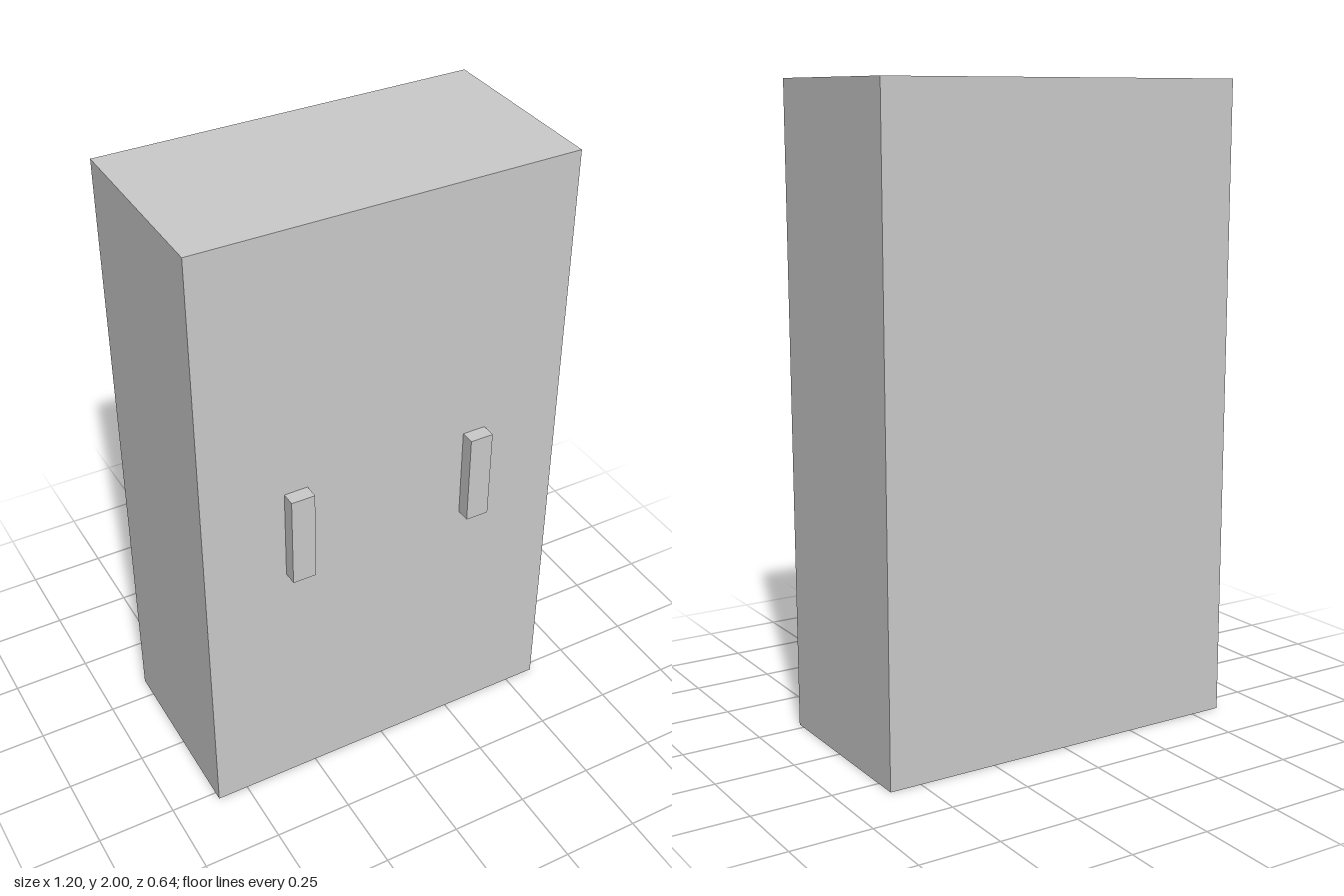
import * as THREE from 'three';

export function createModel() {
  const group = new THREE.Group();
  const material = new THREE.MeshStandardMaterial({ color: 0xcccccc });

  const addBox = (name, [w, h, d], [x, y, z]) => {
    const mesh = new THREE.Mesh(new THREE.BoxGeometry(w, h, d), material);
    mesh.name = name;
    mesh.position.set(x, y, z);
    group.add(mesh);
  };

  // Cabinet body
  addBox('cabinetBody', [1.2, 2, 0.6], [0, 1, -0.0225]);

  // Pair of upright door handles on the front face
  for (const [name, side] of [['leftHandle', 1], ['rightHandle', -1]]) {
    addBox(name, [0.075, 0.3, 0.045], [side * 0.3, 1, 0.3]);
  }

  return group;
}
